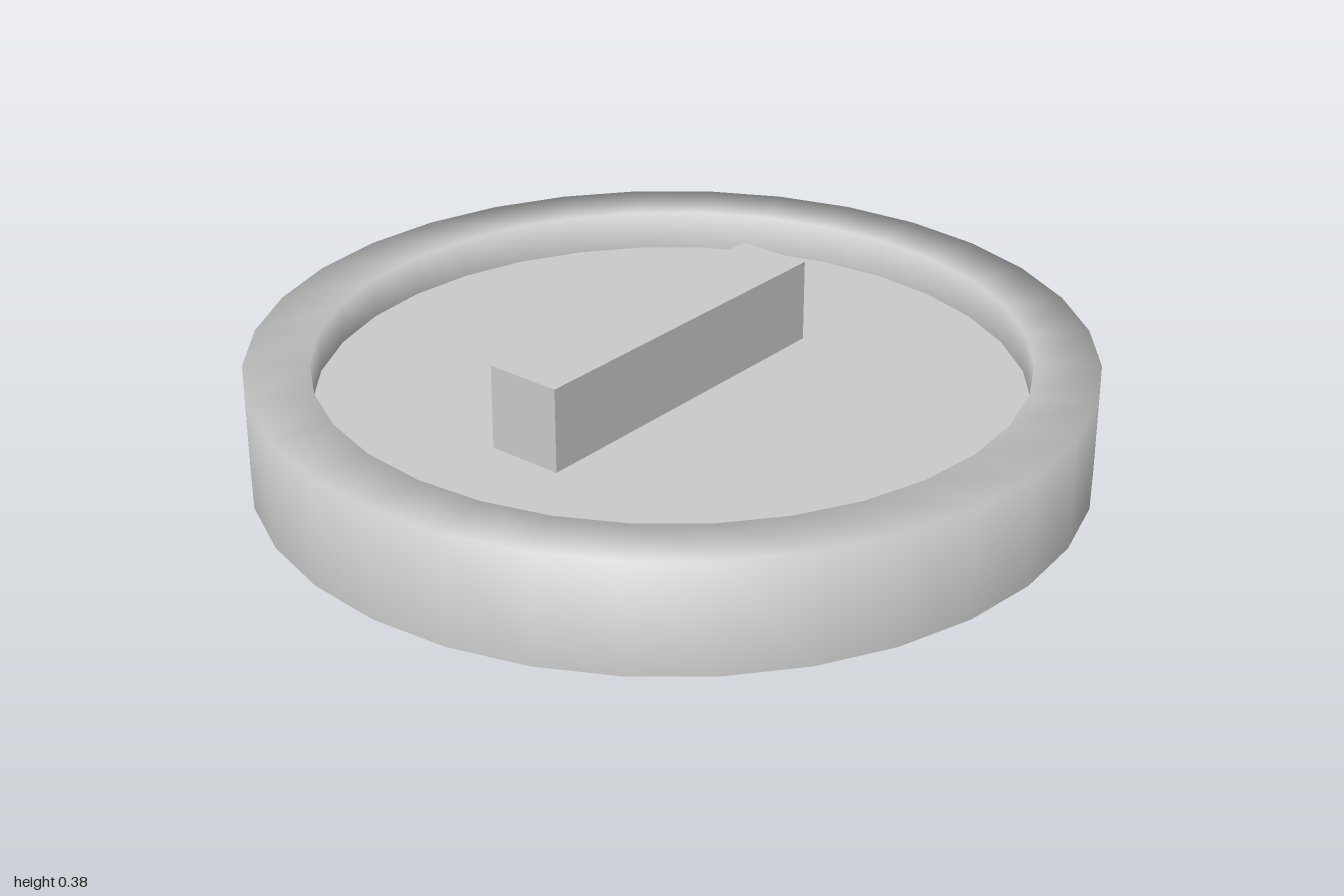
import * as THREE from 'three';

const SIDES = 32;
const HEIGHT = 0.27;
const FLOOR = 0.17;
const RIM = 1;
const INNER = 0.845;

export function createModel() {
  const group = new THREE.Group();
  const material = new THREE.MeshStandardMaterial({ color: 0xcccccc });

  const add = (name, geometry, x, y, z) => {
    const mesh = new THREE.Mesh(geometry, material);
    mesh.name = name;
    mesh.position.set(x, y, z);
    group.add(mesh);
    return mesh;
  };

  // Outer wall, rim and inner wall share smooth normals
  const profile = [[RIM, 0], [RIM, HEIGHT], [INNER, HEIGHT], [INNER, FLOOR]]
    .map(([r, y]) => new THREE.Vector2(r, y));
  add('rim', new THREE.LatheGeometry(profile, SIDES), 0, 0, 0);

  // Flat recessed floor and flat underside
  add('recessedFloor', new THREE.CircleGeometry(INNER, SIDES).rotateX(-Math.PI / 2), 0, FLOOR, 0);
  add('underside', new THREE.CircleGeometry(RIM, SIDES).rotateX(Math.PI / 2), 0, 0, 0);

  // Raised bar standing slightly off centre on the floor
  const barHeight = 0.375 - FLOOR;
  add('gripBar', new THREE.BoxGeometry(0.91, barHeight, 0.19), -0.043, FLOOR + barHeight / 2, -0.016);

  return group;
}
